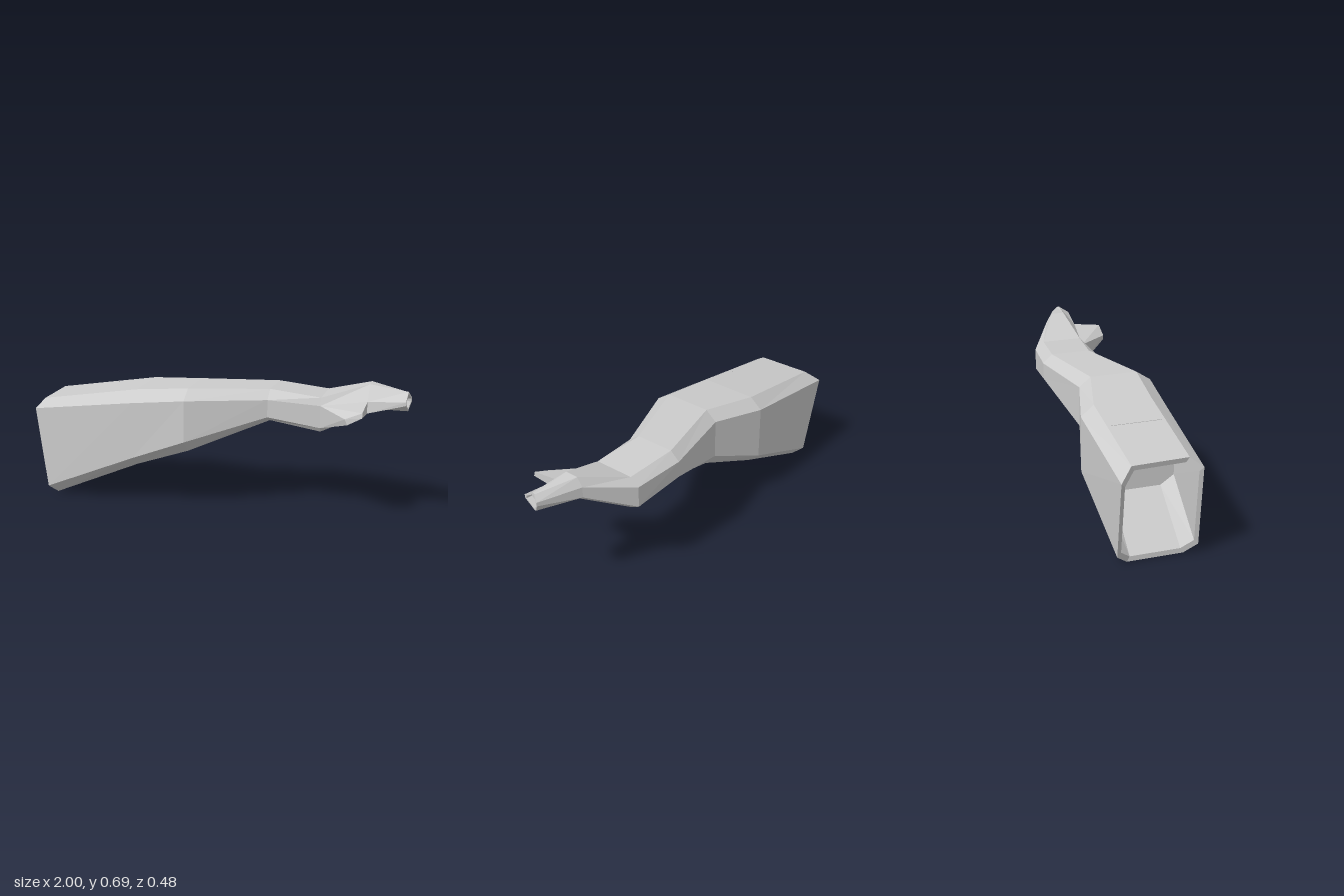
import * as THREE from 'three';

// Skin a list of equal-length rings; optionally close the first and last ring.
function loft(rings, capStart, capEnd) {
  const pos = [];
  const tri = (...pts) => pts.forEach(p => pos.push(...p));
  const n = rings[0].length;
  for (let i = 0; i < rings.length - 1; i++) {
    for (let j = 0; j < n; j++) {
      const k = (j + 1) % n;
      const a = rings[i][j], b = rings[i][k], c = rings[i + 1][k], d = rings[i + 1][j];
      tri(a, d, c);
      tri(a, c, b);
    }
  }
  const first = rings[0], last = rings[rings.length - 1];
  for (let j = 1; j < n - 1; j++) {
    if (capStart) tri(first[0], first[j], first[j + 1]);
    if (capEnd) tri(last[0], last[j + 1], last[j]);
  }
  const g = new THREE.BufferGeometry();
  g.setAttribute('position', new THREE.Float32BufferAttribute(pos, 3));
  g.computeVertexNormals();
  return g;
}

// Shrink a ring toward its centre and shift it along the arm.
function inset(ring, k, dx) {
  const c = [0, 1, 2].map(a => ring.reduce((s, p) => s + p[a], 0) / ring.length);
  return ring.map(p => p.map((v, a) => c[a] + (v - c[a]) * k + (a === 0 ? dx : 0)));
}

// Eight-sided ring: top, back, bottom and front edges, each given as [y, z].
const section = (x, ...yz) => yz.map(([y, z]) => [x, y, z]);

export function createModel() {
  const group = new THREE.Group();
  const grey = new THREE.MeshStandardMaterial({ color: 0xcccccc, flatShading: true });
  grey.name = 'light grey';

  // Slanted open end of the sleeve
  const cuff = [
    [-0.935, 0.52, 0.11], [-0.945, 0.52, -0.17], [-1, 0.465, -0.235], [-0.905, 0.045, -0.22],
    [-0.88, 0, -0.165], [-0.88, 0, 0.115], [-0.905, 0.05, 0.18], [-0.965, 0.475, 0.17],
  ];
  // Wrist to knuckles
  const forearm = section(-0.41, [0.605, 0.12], [0.605, -0.175], [0.55, -0.24], [0.26, -0.24],
    [0.2, -0.17], [0.2, 0.12], [0.255, 0.2], [0.55, 0.2]);
  const bend = section(-0.12, [0.635, 0.145], [0.635, -0.1], [0.585, -0.16], [0.375, -0.16],
    [0.305, -0.1], [0.305, 0.15], [0.37, 0.225], [0.585, 0.22]);
  const wrist = section(0.28, [0.63, 0.015], [0.63, -0.19], [0.585, -0.24], [0.495, -0.238],
    [0.465, -0.19], [0.465, 0.015], [0.495, 0.075], [0.585, 0.075]);
  const palm = section(0.55, [0.61, 0.045], [0.61, -0.165], [0.57, -0.212], [0.457, -0.212],
    [0.433, -0.165], [0.433, 0.045], [0.455, 0.06], [0.57, 0.06]);
  const knuckles = section(0.79, [0.69, 0.02], [0.69, -0.05], [0.645, -0.08], [0.588, -0.08],
    [0.57, -0.05], [0.57, 0.04], [0.557, 0.092], [0.615, 0.085]);
  const fingertip = [
    [0.985, 0.67, 0.045], [0.985, 0.665, 0.033], [0.998, 0.635, 0.01], [0.998, 0.615, 0.01],
    [0.985, 0.574, 0.03], [0.985, 0.57, 0.038], [0.98, 0.612, 0.105], [0.98, 0.63, 0.105],
  ];

  // Arm and hand in one skin, with a hollow sleeve and a recessed tip
  const arm = new THREE.Mesh(loft([
    inset(forearm, 0.85, -0.2), inset(cuff, 0.9, 0.005),
    cuff, forearm, bend, wrist, palm, knuckles, fingertip,
    inset(fingertip, 0.78, 0), inset(fingertip, 0.7, -0.03),
  ], true, true), grey);
  arm.name = 'armAndHand';
  group.add(arm);

  // Thumb growing from the front of the palm
  const thumbBase = [[0.55, 0.57, 0.06], [0.79, 0.615, 0.085], [0.79, 0.557, 0.092], [0.55, 0.455, 0.06]];
  const thumbTip = [[0.705, 0.558, 0.235], [0.79, 0.595, 0.235], [0.79, 0.57, 0.24], [0.718, 0.53, 0.238]];
  const thumb = new THREE.Mesh(loft([thumbBase, thumbTip], false, true), grey);
  thumb.name = 'thumb';
  group.add(thumb);

  return group;
}
